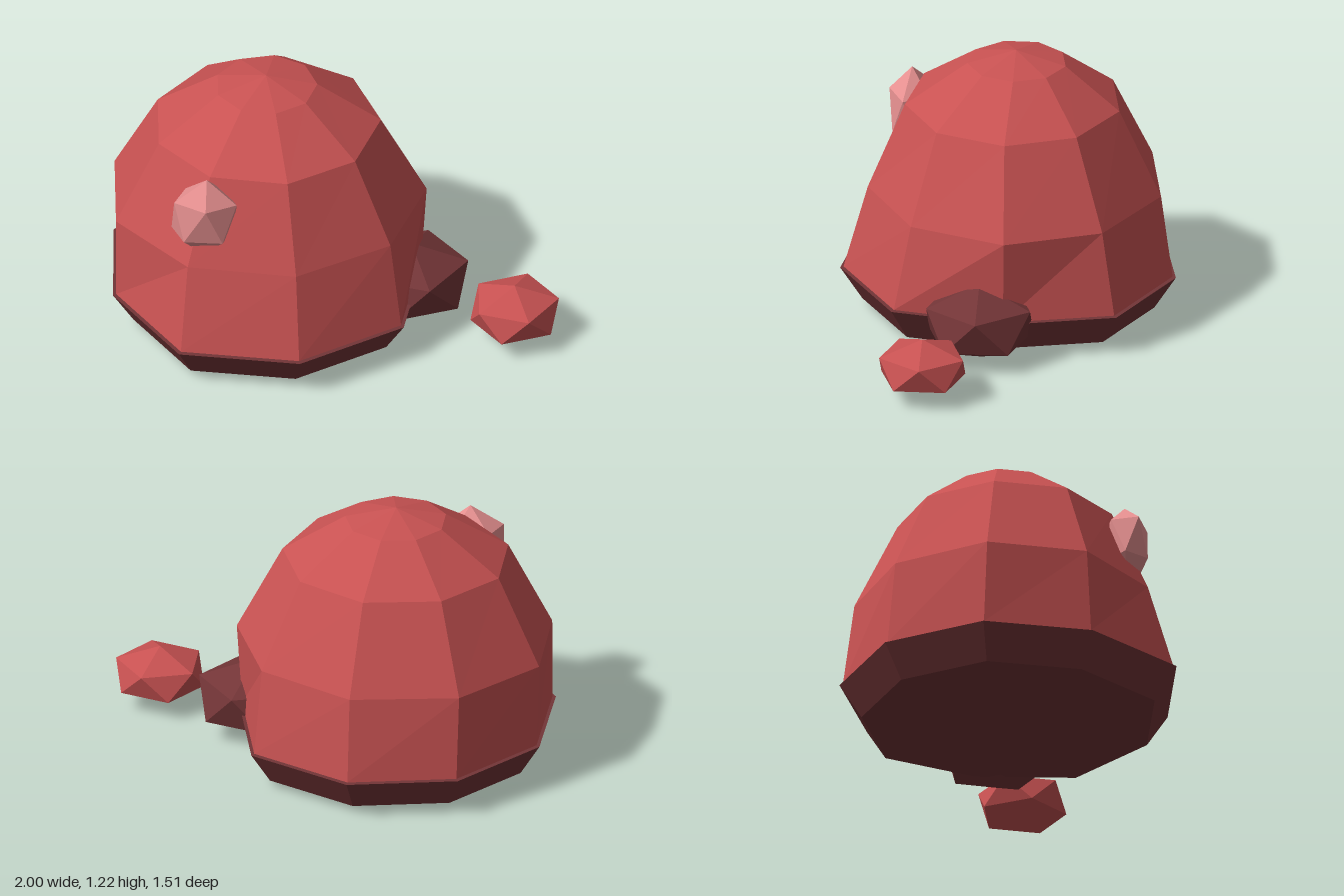
import * as THREE from 'three';

const red = new THREE.MeshStandardMaterial({ color: 0xc85252 });
red.name = 'red';
const darkRed = new THREE.MeshStandardMaterial({ color: 0x733537 });
darkRed.name = 'dark red';
const pink = new THREE.MeshStandardMaterial({ color: 0xe69090 });
pink.name = 'pink';

const SIDES = 9;

// regular nine-sided ring, counter-clockwise seen from above
function ring(y, cx, cz, rx, rz) {
  return Array.from({ length: SIDES }, (_, i) => {
    const a = (i / SIDES) * Math.PI * 2;
    return [cx + rx * Math.cos(a), y, cz - rz * Math.sin(a)];
  });
}

// slightly uneven foot outline, scaled about its middle
const OUTLINE = [
  [0.4, -0.03], [0.28, -0.53], [-0.18, -0.76], [-0.67, -0.66], [-0.99, -0.28],
  [-1.0, 0.22], [-0.71, 0.67], [-0.17, 0.75], [0.3, 0.48],
];
function footRing(y, s) {
  return OUTLINE.map(([x, z]) => [-0.3 + (x + 0.3) * s, y, -0.01 + (z + 0.01) * s]);
}

// faceted skin over rings listed bottom to top, closed by two points
function loft(rings, bottom, top) {
  const pos = [];
  const tri = (...pts) => pts.forEach((p) => pos.push(...p));
  const last = rings[rings.length - 1];
  for (let i = 0; i < SIDES; i++) {
    const j = (i + 1) % SIDES;
    for (let k = 0; k < rings.length - 1; k++) {
      const lo = rings[k], hi = rings[k + 1];
      tri(lo[i], lo[j], hi[j]);
      tri(lo[i], hi[j], hi[i]);
    }
    tri(bottom, rings[0][j], rings[0][i]);
    tri(last[i], last[j], top);
  }
  const g = new THREE.BufferGeometry();
  g.setAttribute('position', new THREE.Float32BufferAttribute(pos, 3));
  g.computeVertexNormals();
  return g;
}

// icosahedron standing on a corner, turned by yaw, then stretched
function lump(yaw, rx, ry, rz) {
  const g = new THREE.IcosahedronGeometry(1, 0);
  g.rotateX(-Math.atan((1 + Math.sqrt(5)) / 2));
  g.rotateY(yaw);
  g.scale(rx, ry, rz);
  g.computeVertexNormals();
  return g;
}

export function createModel() {
  const model = new THREE.Group();
  const add = (name, geometry, material, x = 0, y = 0, z = 0) => {
    const mesh = new THREE.Mesh(geometry, material);
    mesh.name = name;
    mesh.position.set(x, y, z);
    model.add(mesh);
    return mesh;
  };

  // main dome
  add('dome', loft([
    footRing(0.19, 0.98),
    ring(0.58, -0.31, -0.033, 0.72, 0.67),
    ring(0.975, -0.31, -0.02, 0.515, 0.49),
    ring(1.165, -0.31, -0.035, 0.23, 0.225),
  ], [-0.3, 0.19, -0.01], [-0.31, 1.22, -0.03]), red);

  // dark foot, narrowing toward the ground
  add('base', loft([footRing(0.03, 0.87), footRing(0.185, 1)],
    [-0.3, 0.03, -0.01], [-0.3, 0.185, -0.01]), darkRed);

  // side lumps
  add('darkLump', lump(Math.PI / 2, 0.285, 0.18, 0.275), darkRed, 0.34, 0.18, 0.08);
  add('smallLump', lump(Math.PI / 2, 0.222, 0.13, 0.222), red, 0.8, 0.15, 0.3);

  // pale highlight on the front
  const spot = add('highlight', lump(0, 0.165, 0.2, 0.115), pink, -0.595, 0.8, 0.46);
  spot.rotation.z = -0.06;

  return model;
}
